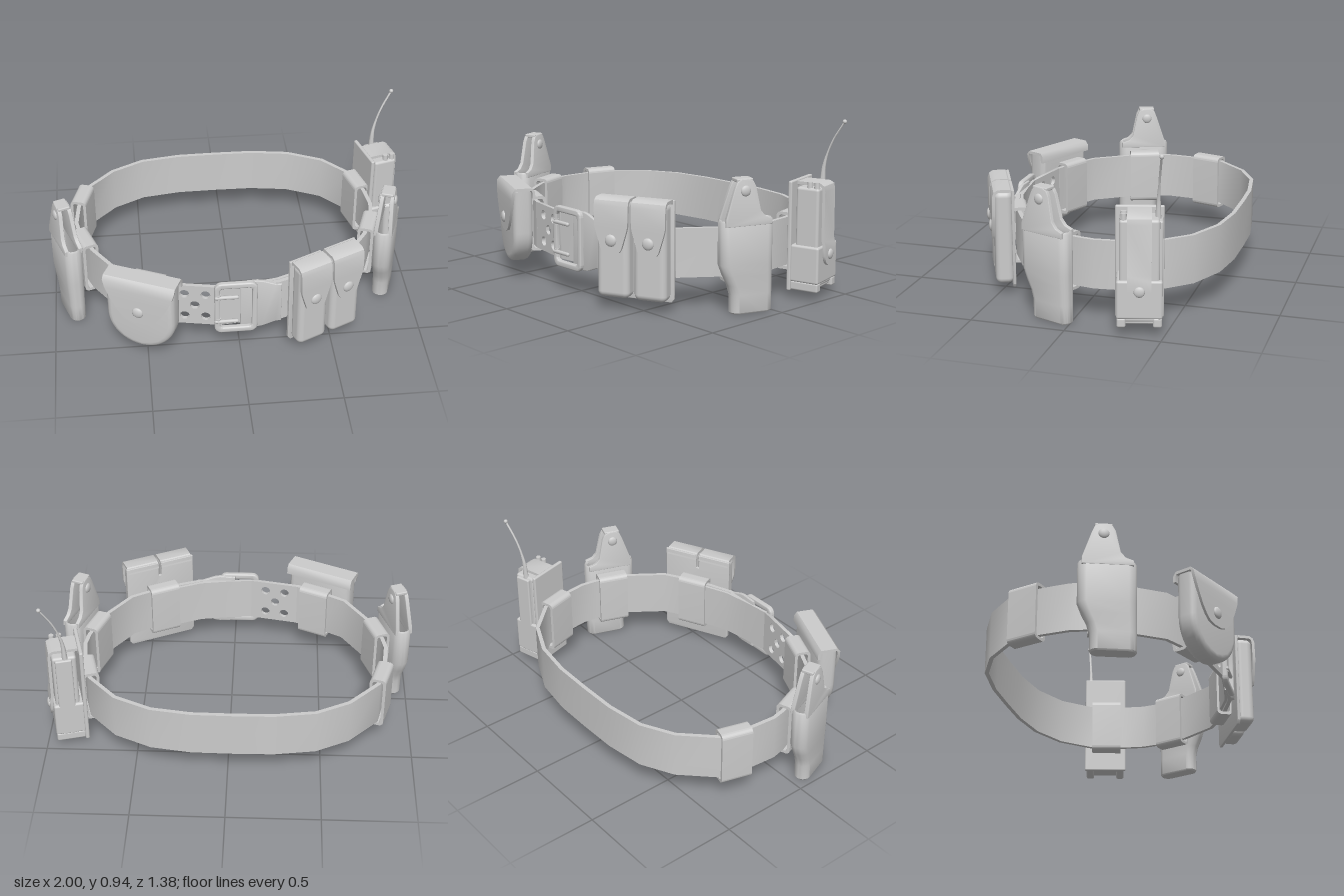
import * as THREE from 'three';
import { toCreasedNormals } from 'three/addons/utils/BufferGeometryUtils.js';
import { RoundedBoxGeometry } from 'three/addons/geometries/RoundedBoxGeometry.js';

const grey = new THREE.MeshStandardMaterial({ color: 0xcccccc });

function add(parent, name, geo, x = 0, y = 0, z = 0) {
  const m = new THREE.Mesh(geo, grey);
  m.name = name;
  m.position.set(x, y, z);
  parent.add(m);
  return m;
}

// Group standing at (x, z) whose local +z points outward at the given angle
function station(parent, name, x, z, deg) {
  const g = new THREE.Group();
  g.name = name;
  g.position.set(x, 0, z);
  g.rotation.y = THREE.MathUtils.degToRad(deg);
  parent.add(g);
  return g;
}

// Skin a row of matching cross-sections and cap both ends
function loft(sections) {
  const n = sections[0].length, pos = sections.flat(2), idx = [];
  for (let s = 0; s < sections.length - 1; s++)
    for (let i = 0; i < n; i++) {
      const a = s * n + i, b = s * n + (i + 1) % n;
      idx.push(a, b, b + n, a, b + n, a + n);
    }
  [0, sections.length - 1].forEach((s, end) => {
    const c = pos.length / 3;
    for (let k = 0; k < 3; k++) pos.push(sections[s].reduce((t, p) => t + p[k] / n, 0));
    for (let i = 0; i < n; i++) {
      const a = s * n + i, b = s * n + (i + 1) % n;
      idx.push(...(end ? [c, a, b] : [c, b, a]));
    }
  });
  // Turn the faces outward if the enclosed volume is negative
  const P = i => new THREE.Vector3().fromArray(pos, i * 3);
  let vol = 0;
  for (let i = 0; i < idx.length; i += 3) vol += P(idx[i]).dot(P(idx[i + 1]).cross(P(idx[i + 2])));
  if (vol < 0) idx.reverse();
  const g = new THREE.BufferGeometry();
  g.setAttribute('position', new THREE.Float32BufferAttribute(pos, 3));
  g.setIndex(idx);
  return toCreasedNormals(g, 0.65);
}

// Strip of thickness t along 2D points [u, v, low, high]; map gives x, y, z
function ribbon(pts, t, map) {
  return loft(pts.map(([u, v, lo, hi], i) => {
    const a = pts[Math.max(i - 1, 0)], b = pts[Math.min(i + 1, pts.length - 1)];
    const du = b[0] - a[0], dv = b[1] - a[1], k = t / 2 / Math.hypot(du, dv);
    const nu = -dv * k, nv = du * k;
    return [map(u + nu, v + nv, lo), map(u + nu, v + nv, hi), map(u - nu, v - nv, hi), map(u - nu, v - nv, lo)];
  }));
}
const band = (pts, t = 0.022) => ribbon(pts.map(([x, z]) => [x, z, 0.17, 0.43]), t, (x, z, y) => [x, y, z]);
const flap = (pts, t = 0.016) => ribbon(pts.map(([z, y, hw]) => [z, y, -hw, hw]), t, (z, y, x) => [x, y, z]);

// Horizontal stadium-shaped ring from x0 to x1 with half thickness b
function ring(y, x0, x1, b, z = 0, n = 20) {
  const out = [], c = (x0 + x1) / 2, s = Math.max((x1 - x0) / 2 - b, 0);
  for (let i = 0; i < n; i++) {
    const a = (i + 0.5) / n * Math.PI * 2;
    out.push([c + Math.sign(Math.cos(a)) * s + Math.cos(a) * b, y, z + Math.sin(a) * b]);
  }
  return out;
}

function roundRect(w, h, r, T = THREE.Shape) {
  const s = new T(), x = w / 2, y = h / 2, q = Math.PI / 2;
  s.absarc(x - r, y - r, r, 0, q);
  s.absarc(r - x, y - r, r, q, 2 * q);
  s.absarc(r - x, r - y, r, 2 * q, 3 * q);
  s.absarc(x - r, r - y, r, 3 * q, 4 * q);
  s.closePath();
  return s;
}

// Plate centred on z = 0; the bevel stays inside the outline
function plate(shape, depth, bevel = 0) {
  const g = new THREE.ExtrudeGeometry(shape, {
    depth: depth - 2 * bevel, curveSegments: 10, bevelEnabled: bevel > 0,
    bevelSize: bevel, bevelThickness: bevel, bevelOffset: -bevel, bevelSegments: 3,
  });
  g.translate(0, 0, bevel - depth / 2);
  return toCreasedNormals(g, 0.65);
}
const outline = pts => new THREE.Shape(pts.map(p => new THREE.Vector2(...p)));

function snap(parent, x, y, z, r = 0.032) {
  add(parent, 'snap', new THREE.SphereGeometry(r, 16, 10), x, y, z).scale.z = 0.45;
}

function keeper(root, x, z, deg) {
  const s = roundRect(0.09, 0.31, 0.025);
  s.holes.push(roundRect(0.058, 0.278, 0.014, THREE.Path));
  add(station(root, 'beltKeeper', x, z, deg), 'keeperLoop', plate(s, 0.17).rotateY(Math.PI / 2), 0, 0.3, 0);
}

function holster(root, name, x, z, deg) {
  const g = station(root, name, x, z, deg);
  // Hollow shell: up the outside, over the rim, down the inside
  const shell = [[0, -0.078, 0.142, 0.038], [0.008, -0.085, 0.148, 0.044], [0.1, -0.086, 0.148, 0.045],
    [0.15, -0.1, 0.148, 0.046], [0.2, -0.125, 0.148, 0.048], [0.26, -0.148, 0.148, 0.05],
    [0.48, -0.148, 0.148, 0.05], [0.49, -0.142, 0.142, 0.045], [0.48, -0.13, 0.13, 0.034], [0.28, -0.12, 0.12, 0.03]];
  add(g, 'holsterShell', loft(shell.map(s => ring(...s))));
  // Side wings rising to the retention strap
  const wing = outline([[-0.13, 0], [0.13, 0], [0.13, 0.03], [0.09, 0.045], [0.065, 0.075], [0.04, 0.2],
    [0.025, 0.228], [0, 0.24], [-0.04, 0.24], [-0.065, 0.225], [-0.08, 0.19], [-0.13, 0.04]]);
  for (const s of [-1, 1])
    add(g, 'holsterWing', plate(wing, 0.022, 0.004), 0, 0.46, s * 0.04).rotation.x = -s * 0.06;
  add(g, 'retentionStrap', new RoundedBoxGeometry(0.09, 0.02, 0.068, 2, 0.006), -0.02, 0.692, 0);
  for (const s of [-1, 1]) snap(g, -0.02, 0.64, s * 0.04, 0.028);
}

export function createModel() {
  const root = new THREE.Group();
  root.name = 'dutyBelt';

  // Belt strap, running from the buckle round the back to the perforated end
  add(root, 'beltStrap', band([[0.03, 0.54], [0.2, 0.535], [0.42, 0.455], [0.595, 0.355], [0.73, 0.17], [0.795, -0.01],
    [0.81, -0.1], [0.795, -0.23], [0.75, -0.4], [0.6, -0.56], [0.405, -0.65], [0.19, -0.682], [-0.03, -0.685],
    [-0.245, -0.682], [-0.465, -0.65], [-0.64, -0.562], [-0.8, -0.4], [-0.84, -0.23], [-0.855, -0.08],
    [-0.84, 0], [-0.77, 0.17], [-0.64, 0.36], [-0.46, 0.46], [-0.37, 0.497]]));
  const holed = roundRect(0.29, 0.26, 0.002);
  for (const [x, y] of [[-0.055, 0.073], [0.058, 0.073], [0, 0], [-0.055, -0.075], [0.058, -0.075]])
    holed.holes.push(new THREE.Path().absarc(x, y, 0.026, 0, Math.PI * 2, true));
  add(station(root, 'perforatedEnd', -0.24, 0.523, -11), 'perforatedStrap', plate(holed, 0.02), 0, 0.3, 0);
  add(root, 'beltTongue', band([[-0.11, 0.55], [0.05, 0.535], [0.2, 0.512], [0.43, 0.42]], 0.016));

  // Buckle with two prongs and the flared tab that carries it
  const buckle = station(root, 'buckle', -0.025, 0.565, 0);
  const frame = roundRect(0.23, 0.335, 0.04);
  frame.holes.push(roundRect(0.172, 0.268, 0.02, THREE.Path));
  add(buckle, 'buckleFrame', plate(frame, 0.03, 0.008), 0, 0.298, 0);
  for (const y of [0.375, 0.21]) {
    add(buckle, 'prong', new THREE.CapsuleGeometry(0.011, 0.11, 4, 10).rotateZ(Math.PI / 2), -0.05, y, 0.012);
    add(buckle, 'prongHinge', new THREE.CylinderGeometry(0.014, 0.014, 0.035, 10), -0.095, y, 0.006);
  }
  const tab = outline([[0, -0.155], [0.09, -0.16], [0.12, -0.155], [0.19, -0.128], [0.22, -0.125],
    [0.22, 0.125], [0.19, 0.128], [0.12, 0.155], [0.09, 0.16], [0, 0.155]]);
  add(root, 'buckleTab', plate(tab, 0.018, 0.004), 0, 0.298, 0.547);

  for (const k of [[-0.82, -0.32, -107], [-0.81, 0.085, -70], [-0.475, 0.445, -24],
    [0.42, 0.445, 25], [0.765, 0.085, 70], [0.765, -0.32, 105]]) keeper(root, ...k);

  holster(root, 'leftHolster', 0.857, 0.13, 70);
  holster(root, 'rightHolster', -0.912, 0.122, -70);

  // Round-bottomed pouch with a curved flap
  const round = station(root, 'roundPouch', -0.515, 0.545, -24);
  const body = new THREE.Shape().moveTo(0.19, 0.51).lineTo(-0.19, 0.51).lineTo(-0.19, 0.275);
  body.absarc(0, 0.275, 0.19, Math.PI, Math.PI * 2).closePath();
  add(round, 'pouchBody', plate(body, 0.11, 0.03));
  add(round, 'pouchFlap', flap([[-0.056, 0.47, 0.2], [-0.055, 0.505, 0.2], [-0.045, 0.52, 0.2], [0.045, 0.52, 0.2],
    [0.056, 0.505, 0.2], [0.06, 0.46, 0.188], [0.061, 0.4, 0.162], [0.061, 0.34, 0.13], [0.061, 0.3, 0.1],
    [0.061, 0.274, 0.07], [0.061, 0.262, 0.03]]));
  snap(round, -0.005, 0.335, 0.07);

  // Twin pouch on a shared notched backing
  const twin = station(root, 'twinPouch', 0.46, 0.53, 25);
  const back = outline([[-0.19, 0.05], [0.19, 0.05], [0.205, 0.07], [0.205, 0.585], [0.012, 0.585], [0.008, 0.5],
    [-0.008, 0.5], [-0.012, 0.585], [-0.205, 0.585], [-0.205, 0.07]]);
  add(twin, 'backing', plate(back, 0.016, 0.003), 0, 0, -0.048);
  for (const x of [-0.102, 0.102]) {
    const p = new THREE.Group();
    p.name = 'pouch';
    p.position.x = x;
    twin.add(p);
    add(p, 'pouchBody', new RoundedBoxGeometry(0.178, 0.51, 0.096, 4, 0.032), 0, 0.32, 0);
    add(p, 'pouchFlap', flap([[-0.05, 0.55, 0.094], [-0.046, 0.573, 0.094], [-0.035, 0.582, 0.094], [0.03, 0.582, 0.094],
      [0.046, 0.572, 0.094], [0.053, 0.55, 0.094], [0.055, 0.45, 0.092], [0.055, 0.42, 0.085],
      [0.055, 0.33, 0.058], [0.055, 0.31, 0.045]]));
    snap(p, 0, 0.372, 0.062);
  }

  // Radio in its open carrier
  const radio = station(root, 'radioCarrier', 0.89, -0.36, 105);
  add(radio, 'backPlate', new RoundedBoxGeometry(0.245, 0.59, 0.022, 2, 0.008), 0, 0.335, -0.085);
  add(radio, 'radioBody', new RoundedBoxGeometry(0.2, 0.53, 0.13, 3, 0.015), 0, 0.335, 0.005);
  add(radio, 'sideBar', new RoundedBoxGeometry(0.03, 0.5, 0.09, 2, 0.008), 0.1, 0.34, 0.01);
  add(radio, 'carrierCup', new RoundedBoxGeometry(0.23, 0.2, 0.165, 3, 0.012), 0, 0.19, 0);
  for (const x of [-0.09, 0.09])
    add(radio, 'cupCorner', new RoundedBoxGeometry(0.045, 0.05, 0.16, 2, 0.01), x, 0.07, 0);
  add(radio, 'cupFloor', new RoundedBoxGeometry(0.16, 0.03, 0.13, 2, 0.008), 0, 0.075, 0);
  add(radio, 'carrierStrap', flap([[-0.08, 0.6, 0.06], [-0.072, 0.614, 0.06], [0.06, 0.614, 0.06], [0.075, 0.605, 0.06],
    [0.08, 0.58, 0.06], [0.082, 0.32, 0.06], [0.09, 0.29, 0.06], [0.09, 0.235, 0.06], [0.09, 0.205, 0.048],
    [0.09, 0.187, 0.03], [0.09, 0.18, 0.01]]));
  snap(radio, 0, 0.24, 0.098, 0.028);
  for (const z of [0.01, 0.05])
    add(radio, 'knob', new THREE.CylinderGeometry(0.014, 0.016, 0.035, 12), -0.078, 0.612, z);

  // Whip antenna: tapering rings along a gentle curve, ball at the tip
  const whip = new THREE.CatmullRomCurve3([[0.09, 0.59, 0], [0.092, 0.7, 0.008], [0.097, 0.82, 0.048], [0.104, 0.93, 0.112]]
    .map(p => new THREE.Vector3(...p)));
  add(radio, 'antenna', loft(whip.getPoints(14).map((p, i) => {
    const r = 0.016 - 0.01 * Math.min(i / 7, 1);
    return ring(p.y, p.x - r, p.x + r, r, p.z, 10);
  })));
  add(radio, 'antennaTip', new THREE.SphereGeometry(0.012, 12, 8), 0.104, 0.93, 0.112);
  return root;
}
